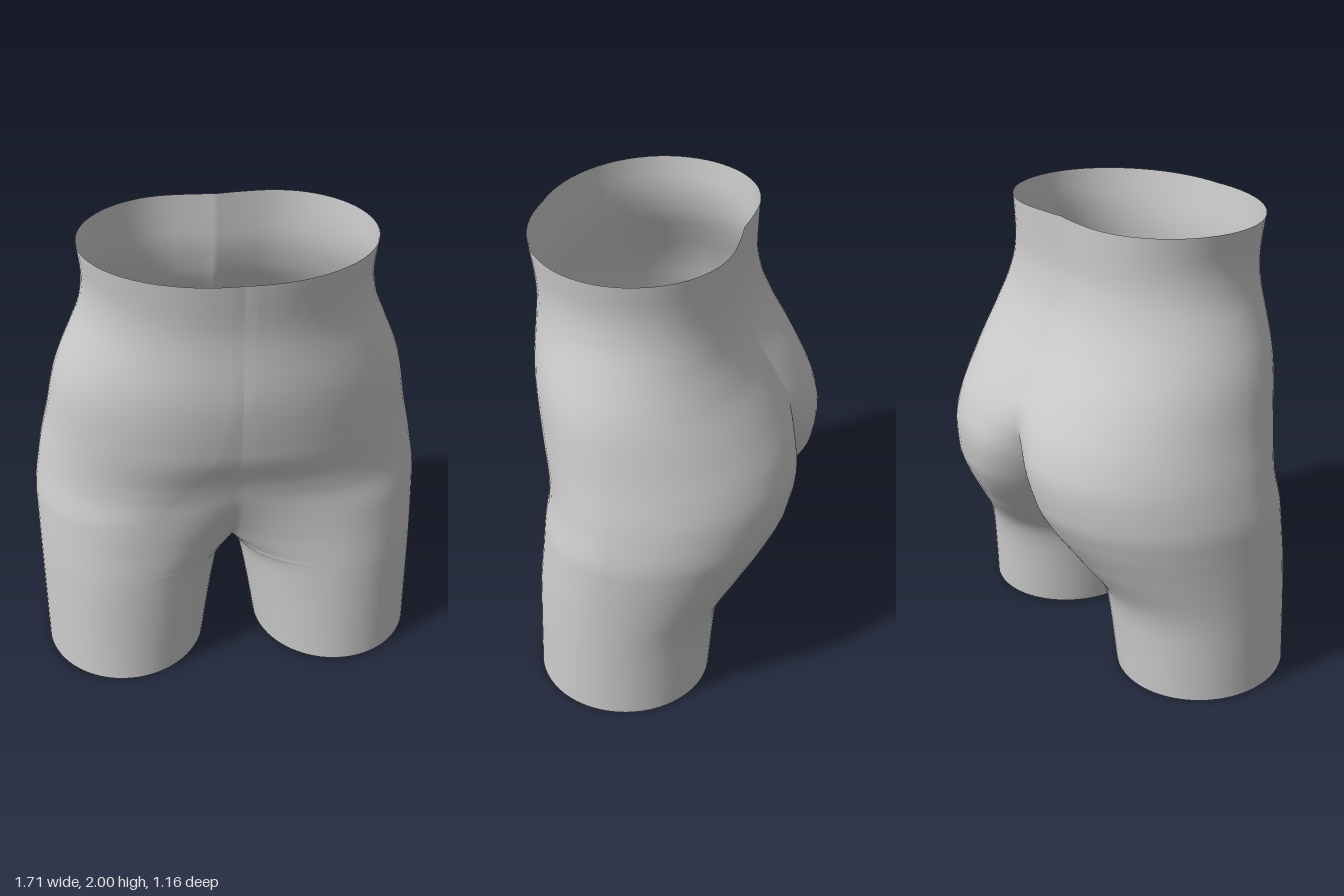
import * as THREE from 'three';
import { mergeVertices } from 'three/addons/utils/BufferGeometryUtils.js';

const CROTCH = 0.54;

// Profiles by height: [y, value]
const side = [[0, .855], [.8, .853], [1, .825], [1.2, .78], [1.4, .738], [1.5, .705], [1.6, .662], [1.75, .605], [1.86, .59], [2, .602]];
const frontZ = [[0, .5], [.5, .477], [.7, .46], [.9, .452], [1, .467], [1.2, .53], [1.5, .565], [1.75, .553], [2, .58]];
const frontX = [[0, .49], [.5, .47], [.8, .41], [1, .25], [1.2, .1], [1.5, .05], [2, .05]];
const backZ = [[0, -.275], [.3, -.295], [.4, -.315], [.6, -.43], [.75, -.52], [.85, -.562], [1, -.583], [1.12, -.56], [1.3, -.478], [1.5, -.365], [1.65, -.305], [1.8, -.281], [2, -.286]];
const backX = [[0, .49], [.4, .45], [.6, .36], [.8, .27], [1, .23], [1.5, .2], [2, .2]];
const midZ = [[0, .115], [CROTCH, .09], [1, .05], [1.5, .1], [2, .12]];
// Centre line at front and back, running down into the crotch
const seamFront = [[CROTCH, .09], [.56, .18], [.6, .26], [.7, .345], [.8, .4], [.9, .438], [1, .462], [1.2, .527], [1.5, .563], [1.75, .552], [2, .578]];
const seamBack = [[CROTCH, .09], [.56, 0], [.6, -.08], [.7, -.22], [.8, -.335], [.9, -.425], [1, -.48], [1.13, -.512], [1.2, -.502], [1.3, -.455], [1.5, -.345], [1.65, -.287], [1.8, -.268], [2, -.273]];
// Inside of the leg
const innerX = [[0, .125], [.2, .095], [.4, .06], [.48, .04], [.52, .02], [CROTCH, 0]];

// Smooth interpolation without overshoot
function at(table, y) {
  const n = table.length;
  let i = 0;
  while (i < n - 2 && y > table[i + 1][0]) i++;
  const secant = k => (table[k + 1][1] - table[k][1]) / (table[k + 1][0] - table[k][0]);
  const slope = k => {
    if (k === 0) return secant(0);
    if (k === n - 1) return secant(n - 2);
    const a = secant(k - 1), b = secant(k);
    return a * b <= 0 ? 0 : 2 * a * b / (a + b);
  };
  const h = table[i + 1][0] - table[i][0];
  const t = THREE.MathUtils.clamp((y - table[i][0]) / h, 0, 1);
  const t2 = t * t, t3 = t2 * t;
  return table[i][1] * (2 * t3 - 3 * t2 + 1) + table[i + 1][1] * (3 * t2 - 2 * t3)
    + h * (slope(i) * (t3 - 2 * t2 + t) + slope(i + 1) * (t3 - t2));
}

// Half section: inner front, round the outside, to inner back
function section(y) {
  const N = 16, points = [];
  const cz = at(midZ, y), xs = at(side, y);
  const above = y >= CROTCH;
  const xi = above ? 0 : at(innerX, y);
  const half = (peakX, peakZ, seamZ) => {
    const k = above ? THREE.MathUtils.clamp((seamZ - cz) / (peakZ - cz), 0, .9999) : 0;
    const end = Math.acos(k), list = [];
    for (let i = N; i > 0; i--) {
      const t = end * i / N;
      list.push([peakX - (peakX - xi) * Math.sin(t) / Math.sin(end), cz + (peakZ - cz) * Math.cos(t)]);
    }
    for (let i = 0; i <= N; i++) {
      const t = Math.PI / 2 * i / N;
      list.push([peakX + (xs - peakX) * Math.sin(t), cz + (peakZ - cz) * Math.cos(t)]);
    }
    return list;
  };
  points.push(...half(at(frontX, y), at(frontZ, y), at(seamFront, y)));
  points.push(...half(at(backX, y), at(backZ, y), at(seamBack, y)).reverse().slice(1));
  return points;
}

export function createModel() {
  // Rows are closer together near the crotch
  const heights = [];
  for (let i = 0; i < 24; i++) heights.push(CROTCH * (1 - (1 - i / 24) ** 2));
  for (let i = 0; i <= 54; i++) heights.push(CROTCH + (2 - CROTCH) * (i / 54) ** 1.6);

  const positions = [], indices = [];
  for (const s of [1, -1]) {
    const base = positions.length / 3;
    let count = 0;
    heights.forEach((y, row) => {
      const ring = section(y);
      count = ring.length;
      for (const [x, z] of ring) positions.push(s * Math.max(0, x), y, z);
      if (row === 0) return;
      for (let j = 0; j < count - 1; j++) {
        const a = base + (row - 1) * count + j, b = a + 1, c = a + count, d = c + 1;
        if (s > 0) indices.push(a, b, d, a, d, c);
        else indices.push(a, d, b, a, c, d);
      }
    });
  }

  // Weld the two halves and the inner leg seams for smooth shading
  let geometry = new THREE.BufferGeometry();
  geometry.setAttribute('position', new THREE.Float32BufferAttribute(positions, 3));
  geometry.setIndex(indices);
  geometry = mergeVertices(geometry, 1e-4);
  geometry.computeVertexNormals();

  const shell = new THREE.Mesh(geometry, new THREE.MeshStandardMaterial({ color: 0xcccccc, side: THREE.DoubleSide }));
  shell.name = 'hipAndThighShell';
  const model = new THREE.Group();
  model.name = 'lowerTorsoForm';
  model.add(shell);
  return model;
}
